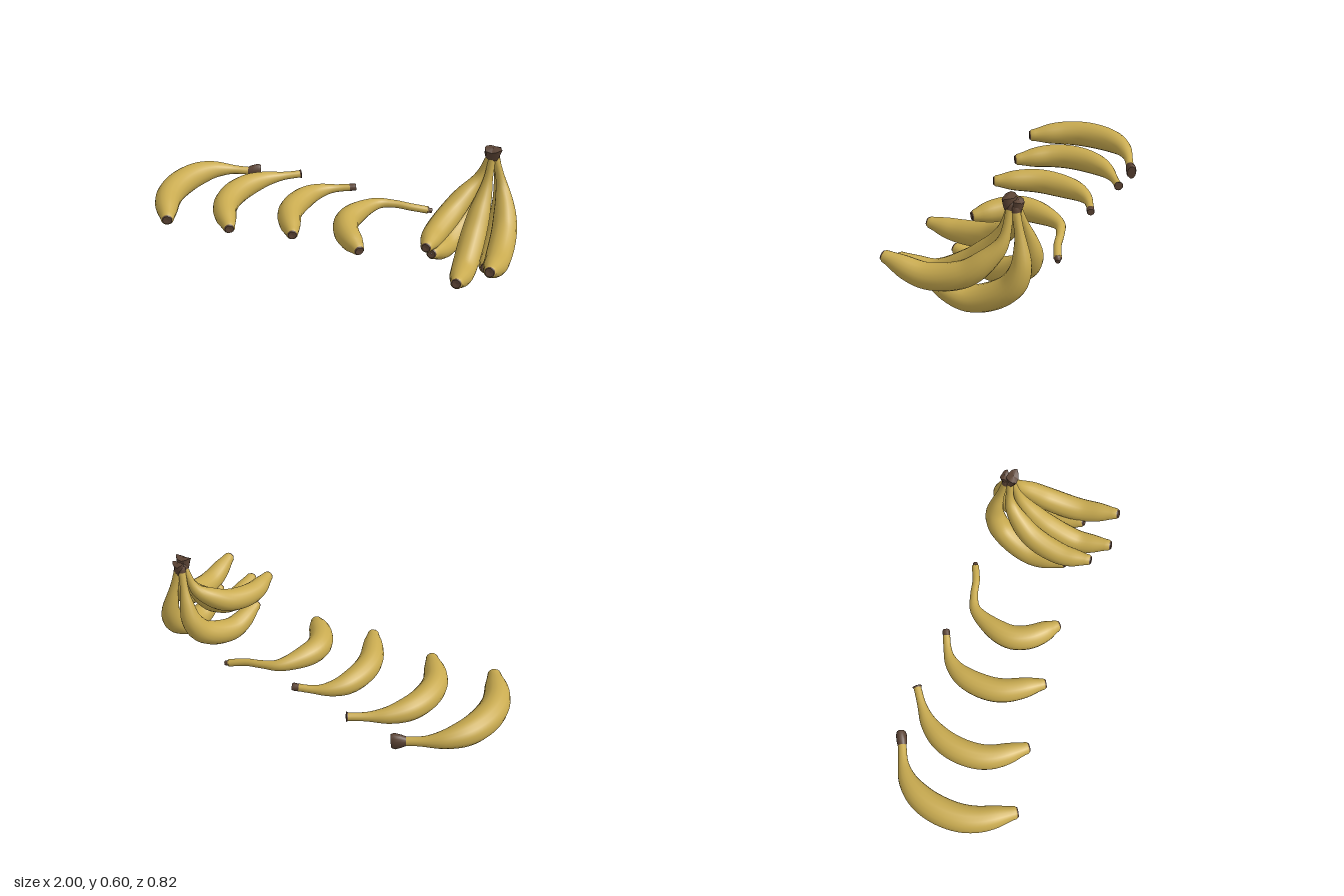
import * as THREE from 'three';

const SIDES = 16;
const yellow = new THREE.MeshStandardMaterial({ color: 0xc9ab50 });
yellow.name = 'banana yellow';
const brown = new THREE.MeshStandardMaterial({ color: 0x5c4435 });
brown.name = 'stem brown';

// Relative thickness from stem to tip, shared by every banana
const PROFILE = new THREE.SplineCurve(
  [0.3, 0.35, 0.62, 0.87, 0.98, 1, 0.95, 0.8, 0.46].map((r, i) => new THREE.Vector2(i, r)));

// Skin a list of rings { p, dir, r, stretch } into a smooth tube; up fixes the ring orientation
function skin(rings, up) {
  const pos = [], idx = [];
  rings.forEach(({ p, dir, r, stretch = 1 }, i) => {
    const b = new THREE.Vector3().crossVectors(dir, up).normalize();
    const n = new THREE.Vector3().crossVectors(b, dir).normalize();
    for (let j = 0; j < SIDES; j++) {
      const a = (j / SIDES) * Math.PI * 2;
      const v = p.clone()
        .addScaledVector(n, Math.cos(a) * r * stretch)
        .addScaledVector(b, Math.sin(a) * r);
      pos.push(v.x, v.y, v.z);
      if (i === rings.length - 1) continue;
      const k = (j + 1) % SIDES, A = i * SIDES, B = A + SIDES;
      idx.push(A + j, A + k, B + j, A + k, B + k, B + j);
    }
  });
  const g = new THREE.BufferGeometry();
  g.setAttribute('position', new THREE.Float32BufferAttribute(pos, 3));
  g.setIndex(idx);
  g.computeVertexNormals();
  return g;
}

function part(name, geometry, material) {
  const m = new THREE.Mesh(geometry, material);
  m.name = name;
  return m;
}

// Banana along a path from stem to tip; neck > 1 lengthens the thin part, cap is the stem end
function banana(name, path, up, { size, neck = 1, cap }) {
  const curve = new THREE.CatmullRomCurve3(path);
  const ring = (u) => ({
    p: curve.getPointAt(u), dir: curve.getTangentAt(u),
    r: size * PROFILE.getPoint(Math.pow(u, neck)).y,
  });
  const shift = (base, d, r, stretch) => ({ p: base.p.clone().addScaledVector(base.dir, d), dir: base.dir, r, stretch });
  const group = new THREE.Group();
  group.name = name;

  // Yellow body, rounded off at the tip
  const rings = [], N = 40;
  for (let i = 0; i <= N; i++) rings.push(ring(i / N));
  const start = rings[0], end = rings[N], e = end.r;
  rings.push(shift(end, 0.007, e * 0.8));
  group.add(part('body', skin(rings, up), yellow));

  // Dark blossom end
  group.add(part('tip', skin([
    shift(end, 0.006, e * 0.84), shift(end, 0.013, e * 0.7),
    shift(end, 0.013, e * 0.7), shift(end, 0.010, 0.0005),
  ], up), brown));

  // Cut stem end, flaring outwards
  const [L, r, stretch] = cap;
  group.add(part('stemEnd', skin([
    shift(start, -L, 0.0005), shift(start, -L, r * 0.85, stretch), shift(start, -L, r * 0.85, stretch),
    shift(start, -L * 0.75, r, stretch), shift(start, -L * 0.3, r * 0.95, (stretch + 1) / 2),
    shift(start, 0.004, start.r * 1.04),
  ], up), brown));
  return group;
}

// Loose bananas: plan outline as x, z pairs; heights of stem, belly and tip; cap length, radius, stretch
const LOOSE = [
  { size: 0.075, neck: 0.93, y: [0.11, 0.137, 0.128], cap: [0.07, 0.029, 1.65],
    plan: [-0.643, -0.362, -0.76, -0.31, -0.83, -0.255, -0.895, -0.15, -0.925, 0, -0.907, 0.13, -0.813, 0.315] },
  { size: 0.069, y: [0.138, 0.133, 0.123], cap: [0.006, 0.026, 1],
    plan: [-0.325, -0.383, -0.43, -0.315, -0.5, -0.255, -0.565, -0.15, -0.592, -0.02, -0.575, 0.1, -0.468, 0.275] },
  { size: 0.066, y: [0.143, 0.137, 0.154], cap: [0.032, 0.021, 1],
    plan: [0.002, -0.325, -0.06, -0.3, -0.125, -0.262, -0.185, -0.185, -0.217, -0.06, -0.21, 0.06, -0.113, 0.262] },
  { size: 0.067, neck: 1.6, y: [0.1, 0.135, 0.122], cap: [0.022, 0.014, 1],
    plan: [0.46, -0.305, 0.37, -0.272, 0.28, -0.255, 0.19, -0.215, 0.1, -0.01, 0.125, 0.1, 0.242, 0.238] },
];

// Lift a plan outline to 3D, easing from the belly height to the stem and tip heights
function loosePath({ plan, y: [stem, belly, tip] }) {
  const n = plan.length / 2 - 1;
  return Array.from({ length: n + 1 }, (_, i) => {
    const s = 1 - (2 * i) / n;
    const y = belly + ((s > 0 ? stem : tip) - belly) * s * s;
    return new THREE.Vector3(plan[2 * i], y, plan[2 * i + 1]);
  });
}

// Bunch bananas: size, then path points x, y, z from crown to tip
const BUNCH = [
  { size: 0.063, path: [[0.79, 0.54, -0.205], [0.742, 0.41, -0.185], [0.695, 0.342, -0.125],
    [0.647, 0.277, -0.025], [0.608, 0.243, 0.15], [0.61, 0.262, 0.305]] },
  { size: 0.066, path: [[0.82, 0.54, -0.205], [0.87, 0.39, -0.185], [0.905, 0.3, -0.115],
    [0.927, 0.225, -0.02], [0.938, 0.18, 0.17], [0.94, 0.242, 0.378]] },
  { size: 0.066, path: [[0.805, 0.54, -0.2], [0.795, 0.385, -0.145], [0.785, 0.28, -0.07],
    [0.78, 0.195, 0.02], [0.78, 0.104, 0.2], [0.787, 0.145, 0.385]] },
  { size: 0.067, path: [[0.79, 0.53, -0.228], [0.748, 0.365, -0.265], [0.722, 0.26, -0.268],
    [0.69, 0.165, -0.215], [0.635, 0.09, -0.03], [0.608, 0.143, 0.17]] },
  { size: 0.067, path: [[0.817, 0.53, -0.23], [0.846, 0.365, -0.265], [0.865, 0.26, -0.268],
    [0.875, 0.16, -0.215], [0.883, 0.067, -0.02], [0.888, 0.142, 0.2]] },
];

// Rough woody lump where the stems join
function crownLump(x, y, z, r, h, tilt) {
  const g = new THREE.CylinderGeometry(r * 0.95, r * 0.75, h, 9, 3);
  const p = g.attributes.position;
  for (let i = 0; i < p.count; i++) {
    const a = Math.atan2(p.getZ(i), p.getX(i));
    const s = 1 + 0.13 * Math.sin(a * 3 + p.getY(i) * 40);
    p.setXYZ(i, p.getX(i) * s, p.getY(i) + 0.006 * Math.cos(a * 2), p.getZ(i) * s * 0.75);
  }
  g.computeVertexNormals();
  const m = part('crown', g, brown);
  m.position.set(x, y, z);
  m.rotation.x = tilt;
  return m;
}

export function createModel() {
  const model = new THREE.Group();
  model.name = 'bananas';
  const up = new THREE.Vector3(0, 1, 0), side = new THREE.Vector3(1, 0, 0);
  LOOSE.forEach((b, i) => model.add(banana('looseBanana' + (i + 1), loosePath(b), up, b)));

  const bunch = new THREE.Group();
  bunch.name = 'bunch';
  BUNCH.forEach(({ size, path }, i) => {
    const points = path.map((p) => new THREE.Vector3(...p));
    bunch.add(banana('bunchBanana' + (i + 1), points, side, { size, cap: [0.03, 0.023, 1] }));
  });
  bunch.add(crownLump(0.805, 0.566, -0.197, 0.046, 0.055, 0.2));
  bunch.add(crownLump(0.805, 0.545, -0.232, 0.034, 0.07, -0.15));
  model.add(bunch);
  return model;
}
